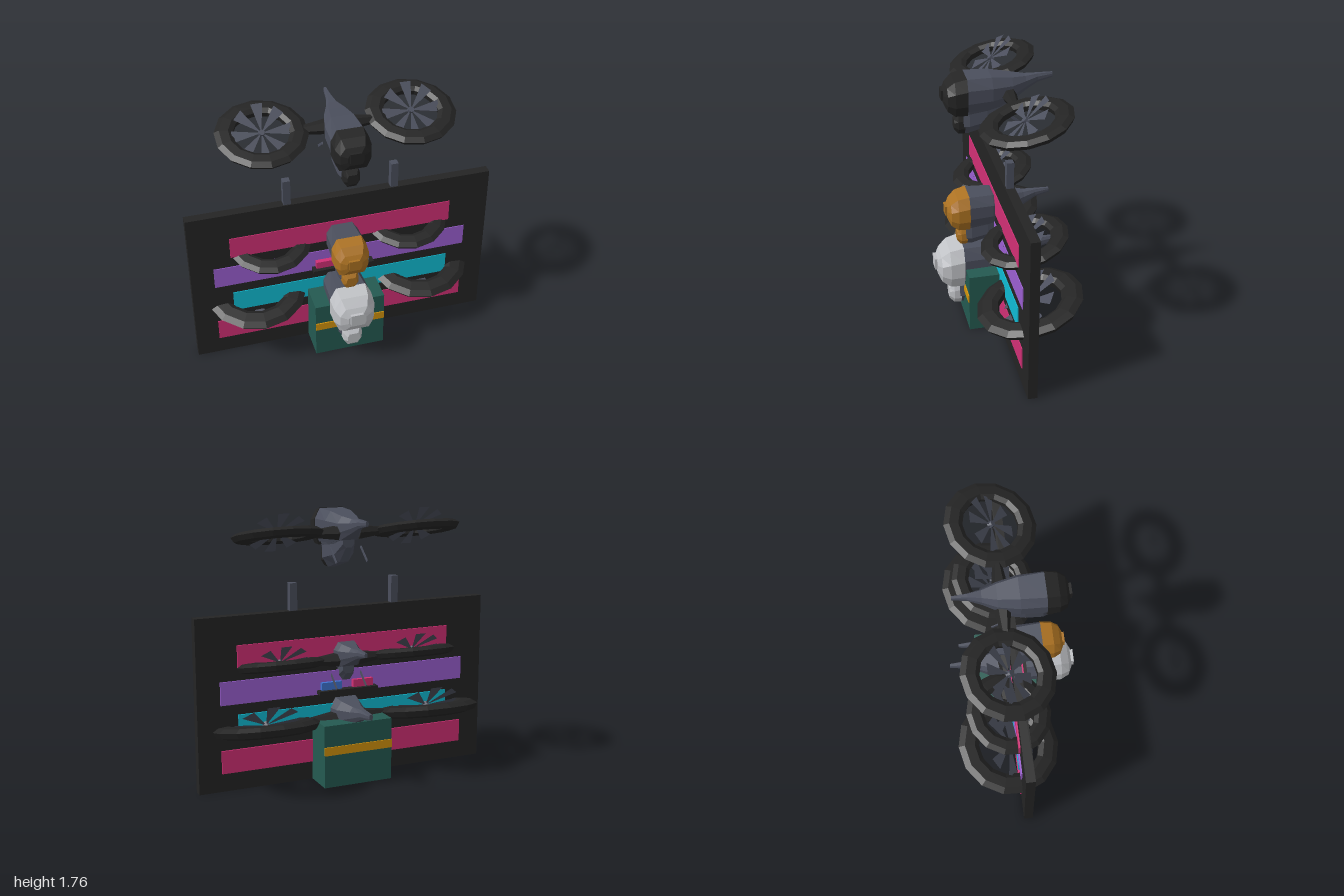
import * as THREE from 'three';

const mat = (name, color) => {
  const m = new THREE.MeshStandardMaterial({ color });
  m.name = name;
  return m;
};

export function createModel() {
  const black = mat('black', 0x242424), grey = mat('slateGrey', 0x4b4f5d);
  const magenta = mat('magenta', 0xd23075), purple = mat('purple', 0x9c5fd2);
  const cyan = mat('cyan', 0x10bcd4), amber = mat('amber', 0xd4940c);
  const bronze = mat('bronze', 0xac7222), silver = mat('silver', 0xc0c2c6);
  const blue = mat('blue', 0x3f74d2), teal = mat('teal', 0x245a51);
  grey.side = THREE.DoubleSide;

  const model = new THREE.Group();
  model.name = 'droneDisplay';

  const add = (parent, name, geo, material, x = 0, y = 0, z = 0) => {
    const m = new THREE.Mesh(geo, material);
    m.name = name;
    m.position.set(x, y, z);
    parent.add(m);
    return m;
  };
  // box given by its x, y and z ranges
  const box = (parent, name, material, [x0, x1], [y0, y1], [z0, z1]) =>
    add(parent, name, new THREE.BoxGeometry(x1 - x0, y1 - y0, z1 - z0), material,
      (x0 + x1) / 2, (y0 + y1) / 2, (z0 + z1) / 2);
  const faceted = (geo) => {
    const g = geo.index ? geo.toNonIndexed() : geo;
    g.computeVertexNormals();
    return g;
  };

  // faceted hull through sections [z, halfTop, halfMid, halfBottom, yTop, yBottom], front to back
  const hull = (sections) => {
    const pos = [], idx = [], n = 8;
    for (const [z, a, b, c, t, u] of sections) {
      const h = t - u;
      const ring = [[c, u], [b, u + h * 0.3], [b, t - h * 0.3], [a, t]];
      for (const [x, y] of ring) pos.push(x, y, z);
      for (const [x, y] of ring.reverse()) pos.push(-x, y, z);
    }
    const last = (sections.length - 1) * n;
    for (let i = 0; i < last; i += n) {
      for (let j = 0; j < n; j++) {
        const k = (j + 1) % n;
        idx.push(i + j, i + n + j, i + k, i + k, i + n + j, i + n + k);
      }
    }
    for (let j = 1; j < n - 1; j++) idx.push(0, j, j + 1, last, last + j + 1, last + j);
    const g = new THREE.BufferGeometry();
    g.setAttribute('position', new THREE.Float32BufferAttribute(pos, 3));
    g.setIndex(idx);
    return faceted(g);
  };

  // Backboard with coloured stripes on both faces
  box(model, 'backboard', black, [-1, 1], [0, 1.125], [-0.025, 0.035]);
  [[0.12, 0.85, magenta], [0.345, 0.735, cyan], [0.565, 0.85, purple], [0.79, 0.735, magenta]]
    .forEach(([y, w, m]) => {
      box(model, 'frontStripe', m, [-w, w], [y, y + 0.15], [0.035, 0.04]);
      box(model, 'backStripe', m, [-w, w], [y, y + 0.15], [-0.035, -0.025]);
    });
  for (const s of [-1, 1]) {
    box(model, 'post', grey, [s * 0.352 - 0.024, s * 0.352 + 0.024], [1.125, 1.3], [-0.018, 0.028]);
  }

  // Crate with a band on its front and back
  box(model, 'crate', teal, [-0.235, 0.235], [0, 0.41], [-0.23, 0.24]);
  for (const z of [-0.237, 0.24]) {
    box(model, 'crateBand', amber, [-0.235, 0.235], [0.215, 0.27], [z, z + 0.007]);
  }

  // Small shelf with two blocks
  box(model, 'shelf', black, [-0.205, 0.205], [0.572, 0.595], [-0.085, 0.095]);
  box(model, 'magentaBlock', magenta, [-0.18, -0.04], [0.595, 0.645], [-0.06, 0.07]);
  box(model, 'blueBlock', blue, [0.04, 0.18], [0.595, 0.645], [-0.06, 0.07]);

  // Shared drone shapes
  const bodyGeo = hull([
    [0.21, 0.08, 0.113, 0.085, 0.114, -0.1],
    [0.05, 0.07, 0.108, 0.08, 0.11, -0.09],
    [-0.08, 0.05, 0.08, 0.06, 0.09, -0.06],
    [-0.17, 0.024, 0.042, 0.028, 0.08, -0.01],
    [-0.25, 0.011, 0.02, 0.012, 0.083, 0.03],
    [-0.345, 0.007, 0.01, 0.007, 0.082, 0.052]]);
  const noseGeo = hull([
    [0.345, 0.035, 0.05, 0.04, 0.03, -0.05],
    [0.325, 0.06, 0.092, 0.07, 0.06, -0.09],
    [0.28, 0.075, 0.113, 0.085, 0.1, -0.12],
    [0.205, 0.082, 0.117, 0.09, 0.117, -0.12]]);
  const podGeo = hull([
    [0.225, 0.075, 0.055, 0.022, -0.08, -0.265],
    [0.19, 0.09, 0.07, 0.025, -0.06, -0.268],
    [0.08, 0.1, 0.075, 0.03, -0.05, -0.235],
    [0, 0.085, 0.065, 0.03, -0.04, -0.21],
    [-0.075, 0.045, 0.04, 0.02, -0.03, -0.11]]);
  const chinGeo = hull([
    [0.28, 0.025, 0.035, 0.02, -0.17, -0.235],
    [0.255, 0.04, 0.052, 0.028, -0.14, -0.265],
    [0.215, 0.045, 0.055, 0.028, -0.13, -0.268]]);
  const ductProfile = [[0.175, -0.022], [0.225, -0.036], [0.268, -0.025], [0.287, 0.006],
    [0.255, 0.026], [0.2, 0.03], [0.172, 0.012], [0.175, -0.022]];
  const ductGeo = faceted(new THREE.LatheGeometry(
    ductProfile.map(([x, y]) => new THREE.Vector2(x, y)), 14));

  // eight flat wedge blades
  const bladePos = [];
  for (let i = 0; i < 8; i++) {
    const a = (i / 8) * Math.PI * 2, w = 0.2, r = 0.185;
    bladePos.push(0, 0, 0, r * Math.sin(a - w), 0, r * Math.cos(a - w), r * Math.sin(a + w), 0, r * Math.cos(a + w));
  }
  const fanGeo = new THREE.BufferGeometry();
  fanGeo.setAttribute('position', new THREE.Float32BufferAttribute(bladePos, 3));
  fanGeo.computeVertexNormals();

  const makeDrone = (name, noseMat, y, scale) => {
    const d = new THREE.Group();
    d.name = name;
    add(d, 'body', bodyGeo, grey);
    add(d, 'nose', noseGeo, noseMat);
    add(d, 'lowerPod', podGeo, grey);
    add(d, 'chin', chinGeo, noseMat);
    box(d, 'noseSensor', noseMat, [-0.04, 0.03], [-0.03, 0.035], [0.33, 0.358]);
    for (const s of [-1, 1]) {
      // tilted duct with a steeper fan inside
      const duct = add(d, 'duct', ductGeo, black, s * 0.473, -0.008, -0.067);
      duct.rotation.x = 0.23;
      const fan = add(d, 'fan', fanGeo, grey, s * 0.473, 0.005, -0.06);
      fan.rotation.x = 0.8;
      const hub = add(d, 'fanHub', faceted(new THREE.CylinderGeometry(0.018, 0.022, 0.03, 8)), grey,
        s * 0.473, 0.005, -0.06);
      hub.rotation.x = 0.8;
      // tapered arm from body to duct
      const arm = add(d, 'arm', faceted(new THREE.CylinderGeometry(0.028, 0.05, 0.15, 6)), black,
        s * 0.145, -0.015, -0.055);
      arm.rotation.z = -s * Math.PI / 2;
      // trailing strut
      const strut = add(d, 'strut', new THREE.BoxGeometry(0.006, 0.016, 0.13), grey, s * 0.105, -0.155, -0.075);
      strut.rotation.x = -0.7;
    }
    d.position.set(0, y, 0);
    d.scale.setScalar(scale);
    model.add(d);
  };
  makeDrone('topDrone', black, 1.62, 1);
  makeDrone('middleDrone', bronze, 0.805, 0.98);
  makeDrone('bottomDrone', silver, 0.412, 1.2);

  return model;
}
